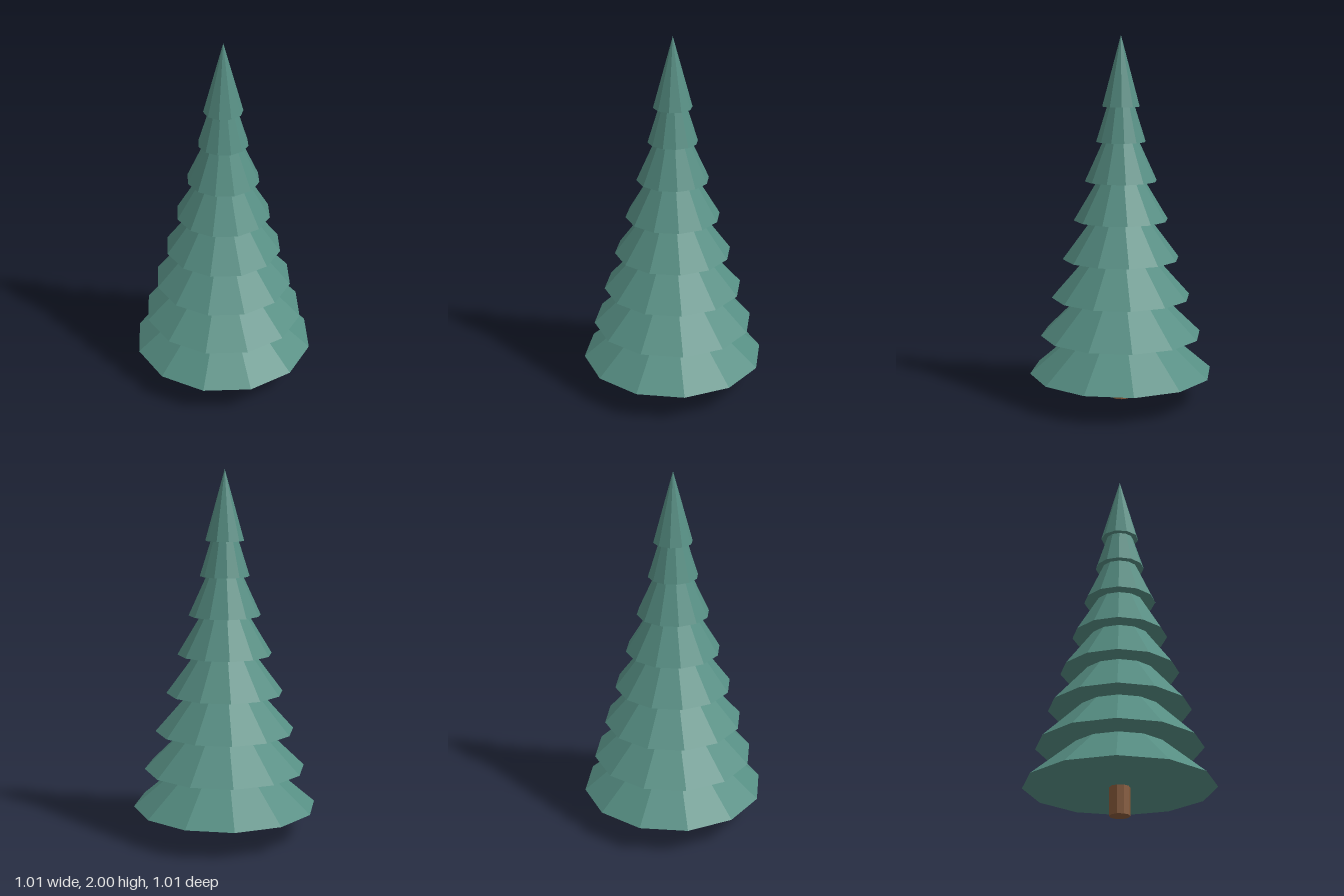
import * as THREE from 'three';

export function createModel() {
  const group = new THREE.Group();
  const needleGreen = new THREE.MeshStandardMaterial({ color: 0x568e83, flatShading: true });
  needleGreen.name = 'needleGreen';
  const barkBrown = new THREE.MeshStandardMaterial({ color: 0x85593a, flatShading: true });
  barkBrown.name = 'barkBrown';

  // Adds a closed low-poly part standing on the given height
  function add(name, geometry, material, base, height) {
    const mesh = new THREE.Mesh(geometry, material);
    mesh.name = name;
    mesh.position.y = base + height / 2;
    group.add(mesh);
  }

  // Trunk
  add('trunk', new THREE.CylinderGeometry(0.055, 0.055, 0.16, 10), barkBrown, 0, 0.16);

  // Seven overlapping twelve-sided tiers, shrinking upwards
  const tierHeight = 0.43;
  for (let i = 0; i < 7; i++) {
    const radius = 0.506 - i * 0.0618;
    add(`branchTier${i + 1}`, new THREE.ConeGeometry(radius, tierHeight, 12), needleGreen, 0.152 + i * 0.213, tierHeight);
  }

  // Slender ten-sided tip
  add('treeTip', new THREE.ConeGeometry(0.105, 0.38, 10), needleGreen, 1.62, 0.38);

  return group;
}
